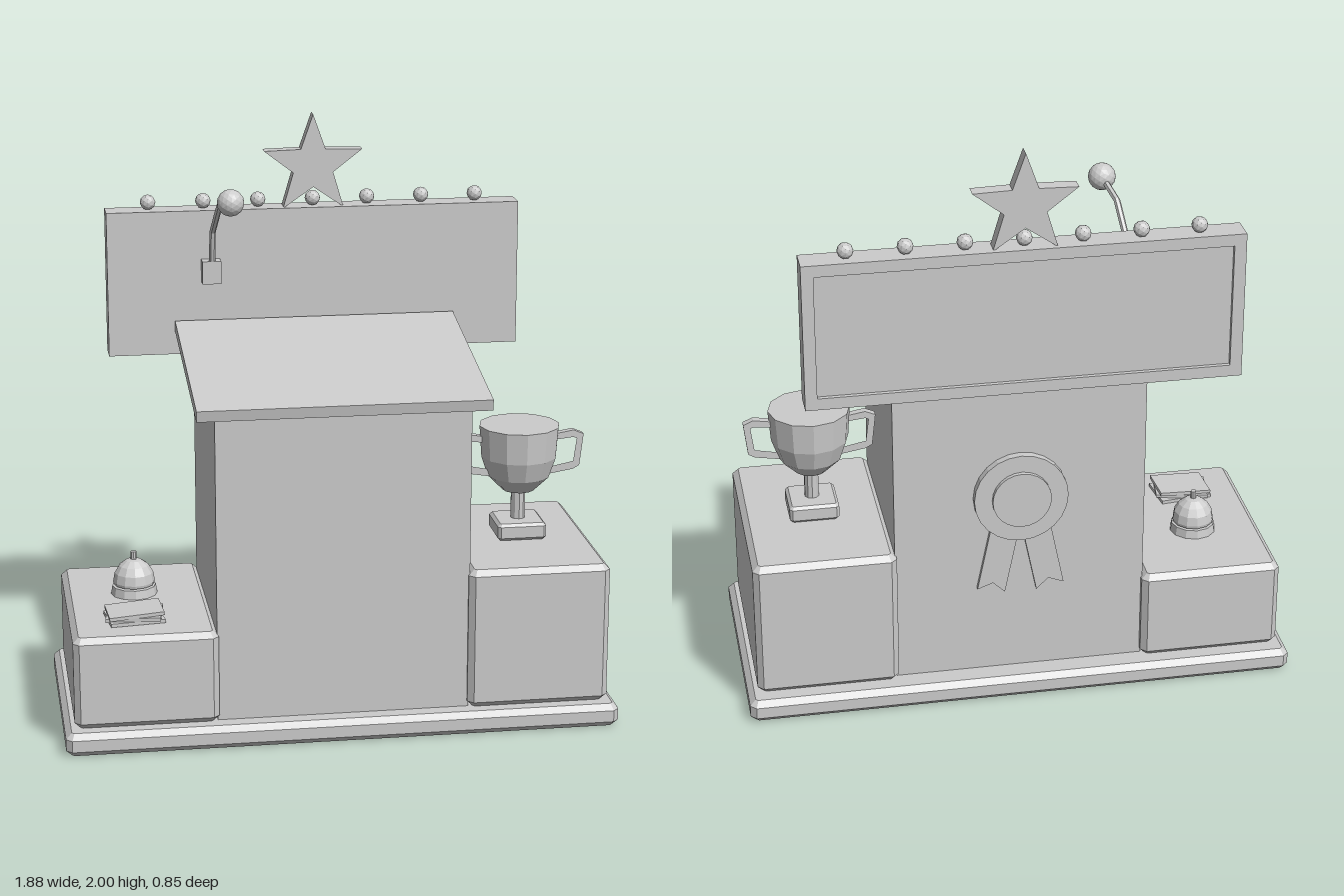
import * as THREE from 'three';

const grey = new THREE.MeshStandardMaterial({ color: 0xcccccc, flatShading: true });

function add(parent, name, geometry, x = 0, y = 0, z = 0) {
  const mesh = new THREE.Mesh(geometry, grey);
  mesh.name = name;
  mesh.position.set(x, y, z);
  parent.add(mesh);
  return mesh;
}

const polygon = (points) => new THREE.Shape(points.map(([x, y]) => new THREE.Vector2(x, y)));
const rect = (w, h) => polygon([[-w / 2, -h / 2], [w / 2, -h / 2], [w / 2, h / 2], [-w / 2, h / 2]]);

// Flat plate centred on its own z
function plate(shape, depth) {
  return new THREE.ExtrudeGeometry(shape, { depth, bevelEnabled: false, curveSegments: 8 }).translate(0, 0, -depth / 2);
}

// Box with every edge cut at 45 degrees, standing on y = 0
function chamferBox(w, h, d, c) {
  const a = w / 2, b = d / 2;
  const outline = polygon([[-a + c, -b], [a - c, -b], [a, -b + c], [a, b - c], [a - c, b], [-a + c, b], [-a, b - c], [-a, -b + c]]);
  const geometry = new THREE.ExtrudeGeometry(outline, {
    depth: h - 2 * c, bevelEnabled: true, bevelSegments: 1, bevelThickness: c, bevelSize: c, bevelOffset: -c,
  });
  return geometry.rotateX(-Math.PI / 2).translate(0, c, 0);
}

// Side profile given as [z, y], swept across the width in x
function sideProfile(points, width) {
  return plate(polygon(points.map(([z, y]) => [-z, y])), width).rotateY(Math.PI / 2);
}

function lathe(points, sides) {
  return new THREE.LatheGeometry(points.map(([r, y]) => new THREE.Vector2(r, y)), sides);
}

function makeTrophy() {
  const trophy = new THREE.Group();
  trophy.name = 'trophy';
  add(trophy, 'trophyFoot', chamferBox(0.17, 0.06, 0.17, 0.01));
  add(trophy, 'trophyStem', new THREE.CylinderGeometry(0.025, 0.025, 0.13, 10), 0, 0.11, 0);
  add(trophy, 'trophyBowl', lathe([[0, 0.162], [0.055, 0.162], [0.108, 0.215], [0.132, 0.285], [0.14, 0.395], [0, 0.395]], 12));
  for (const side of [-1, 1]) {
    const loop = polygon([[0.1, 0.355], [0.19, 0.37], [0.225, 0.355], [0.212, 0.243], [0.19, 0.23], [0.1, 0.215]]);
    loop.holes.push(polygon([[0.1, 0.335], [0.19, 0.345], [0.201, 0.34], [0.19, 0.258], [0.1, 0.24]]));
    const handle = add(trophy, 'trophyHandle', plate(loop, 0.026));
    if (side < 0) handle.rotation.y = Math.PI;
  }
  return trophy;
}

function makeBell() {
  const bell = new THREE.Group();
  bell.name = 'deskBell';
  add(bell, 'bellBase', new THREE.CylinderGeometry(0.075, 0.08, 0.03, 12), 0, 0.015, 0);
  const dome = [[0, 0.035], [0.07, 0.035]];
  for (let i = 0; i <= 4; i++) {
    const t = (i / 4) * Math.PI / 2;
    dome.push([0.072 * Math.cos(t), 0.045 + 0.08 * Math.sin(t)]);
  }
  add(bell, 'bellDome', lathe(dome, 12));
  add(bell, 'bellButton', new THREE.CylinderGeometry(0.01, 0.01, 0.04, 8), 0, 0.13, 0);
  return bell;
}

function makeRosette() {
  // Built facing +z, then turned to the back
  const rosette = new THREE.Group();
  rosette.name = 'awardRosette';
  for (const side of [-1, 1]) {
    const ribbon = polygon([[-0.048, 0], [-0.048, -0.36], [0, -0.33], [0.048, -0.36], [0.048, 0]]);
    add(rosette, 'rosetteRibbon', plate(ribbon, 0.016), side * 0.03, 0, 0.008).rotation.z = side * 0.2;
  }
  const disc = (name, r, z0, z1) =>
    add(rosette, name, new THREE.CylinderGeometry(r, r, z1 - z0, 24).rotateX(Math.PI / 2), 0, 0, (z0 + z1) / 2);
  disc('rosetteDisc', 0.16, 0, 0.028);
  disc('rosetteCentre', 0.1, 0.02, 0.043);
  return rosette;
}

export function createModel() {
  const model = new THREE.Group();
  model.name = 'awardPodium';

  // Base and steps
  add(model, 'base', chamferBox(1.88, 0.08, 0.84, 0.02));
  add(model, 'lowStep', chamferBox(0.485, 0.32, 0.745, 0.02), -0.665, 0.08, 0.005);
  add(model, 'highStep', chamferBox(0.485, 0.49, 0.745, 0.02), 0.665, 0.08, 0.005);

  // Lectern with sloping top
  add(model, 'lecternBody', sideProfile([[0.35, 0.07], [-0.33, 0.07], [-0.33, 1.26], [0.35, 1.145]], 0.855));
  add(model, 'lecternTop', sideProfile([[0.383, 1.13], [-0.33, 1.258], [-0.325, 1.296], [0.39, 1.168]], 0.98));

  // Sign board with a raised frame on its back
  add(model, 'signBoard', new THREE.BoxGeometry(1.44, 0.505, 0.08), 0, 1.4275, -0.375);
  const frame = rect(1.44, 0.505);
  frame.holes.push(rect(1.36, 0.425));
  add(model, 'signFrame', plate(frame, 0.015), 0, 1.4275, -0.4225);

  // Bulbs and star along the top of the sign
  for (let i = -3; i <= 3; i++) {
    add(model, 'bulb', new THREE.IcosahedronGeometry(0.027, 1), i * 0.191, 1.705, -0.385);
  }
  const star = [];
  for (let i = 0; i < 10; i++) {
    const a = Math.PI / 2 + (i * Math.PI) / 5, r = i % 2 ? 0.073 : 0.18;
    star.push([r * Math.cos(a), r * Math.sin(a)]);
  }
  add(model, 'star', plate(polygon(star), 0.05), 0, 1.82, -0.385);

  // Microphone on a bent arm
  const microphone = new THREE.Group();
  microphone.name = 'microphone';
  model.add(microphone);
  add(microphone, 'microphoneMount', new THREE.BoxGeometry(0.065, 0.08, 0.045), -0.363, 1.47, -0.3125);
  const joints = [[-0.361, 1.49, -0.305], [-0.361, 1.62, -0.27], [-0.345, 1.725, -0.19], [-0.322, 1.76, -0.06]]
    .map((p) => new THREE.Vector3(...p));
  const arm = new THREE.CurvePath();
  for (let i = 0; i < 3; i++) arm.add(new THREE.LineCurve3(joints[i], joints[i + 1]));
  add(microphone, 'microphoneArm', new THREE.TubeGeometry(arm, 24, 0.011, 6));
  add(microphone, 'microphoneHead', new THREE.IcosahedronGeometry(0.046, 2), -0.322, 1.76, -0.06);

  // Props on the steps
  const trophy = makeTrophy();
  trophy.position.set(0.665, 0.572, 0);
  model.add(trophy);
  const bell = makeBell();
  bell.position.set(-0.67, 0.4, -0.065);
  model.add(bell);
  [0.12, -0.14, 0.06].forEach((turn, i) => {
    const card = add(model, 'card', new THREE.BoxGeometry(0.185, 0.012, 0.14), -0.69, 0.408 + i * 0.012, 0.2);
    card.rotation.set(0, turn, i * 0.03);
  });

  // Award rosette on the back of the lectern
  const rosette = makeRosette();
  rosette.rotation.y = Math.PI;
  rosette.position.set(0, 0.745, -0.33);
  model.add(rosette);

  return model;
}
